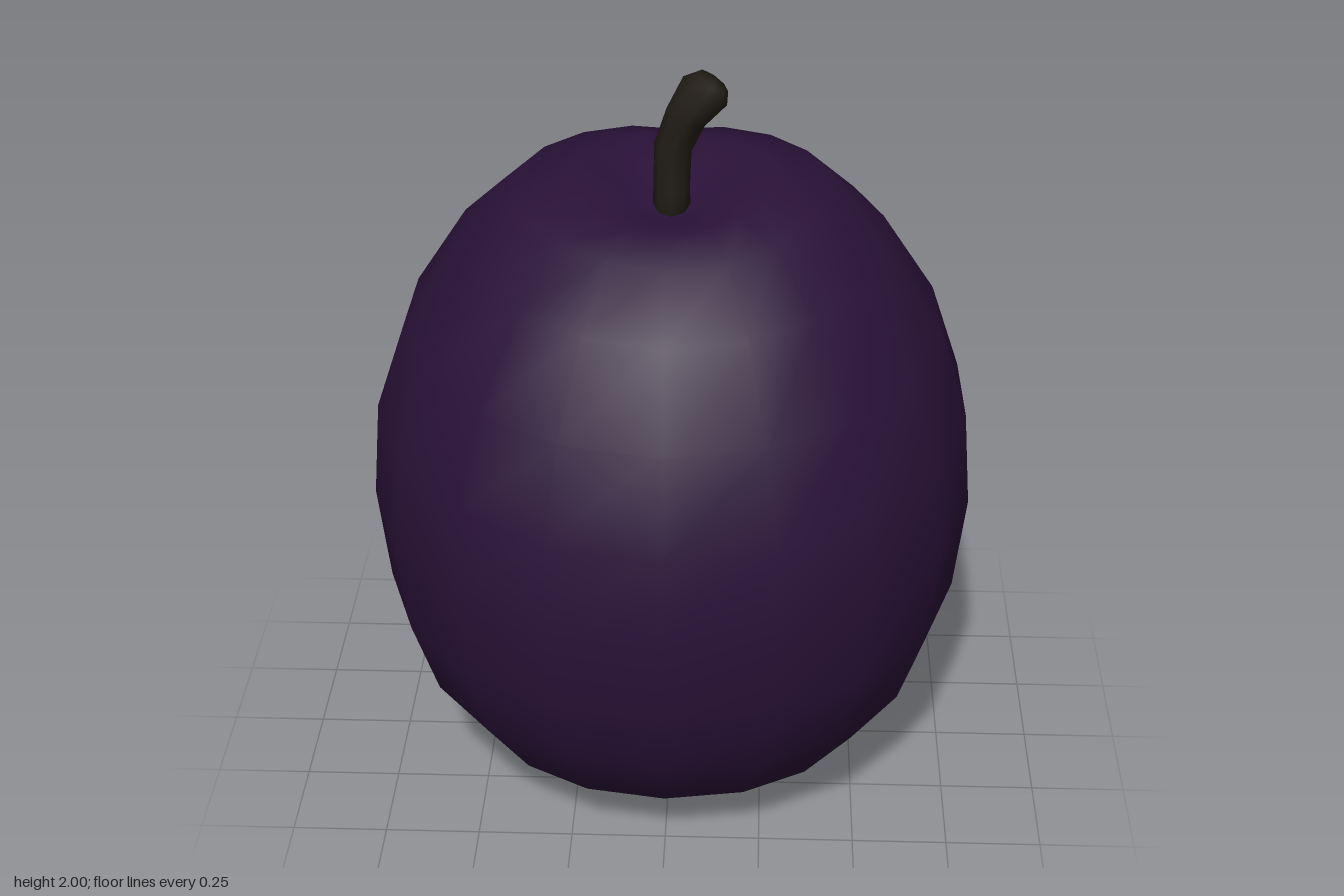
import * as THREE from 'three';

// Half of the widest horizontal section, front to crease: [x, z]
const HALF = [[0, 0.78], [0.29, 0.73], [0.52, 0.595], [0.7, 0.37], [0.79, 0.09], [0.785, -0.21],
  [0.68, -0.48], [0.49, -0.685], [0.24, -0.785], [0.075, -0.76], [0, -0.78]];
const CREASE = 10;

// Rings from bottom to top: [radius, y, crease strength]
const RINGS = [[0.19, 0.012, 0], [0.38, 0.055, 0.1], [0.56, 0.17, 0.45], [0.69, 0.35, 0.8],
  [0.76, 0.56, 0.95], [0.79, 0.82, 1], [0.77, 1.08, 1], [0.69, 1.32, 1], [0.55, 1.54, 1],
  [0.4, 1.68, 1], [0.26, 1.715, 0.9], [0.12, 1.68, 0.5]];

// Quads between closed rings, fans to the two end points
function loft(rings, bottom, top) {
  const n = rings[0].length, index = [];
  const points = [...rings.flat(), bottom, top];
  const low = points.length - 2, high = low + 1, last = (rings.length - 1) * n;
  for (let i = 0; i < n; i++) {
    const j = (i + 1) % n;
    for (let k = 0; k < last; k += n) {
      index.push(k + i, k + j, k + n + j, k + i, k + n + j, k + n + i);
    }
    index.push(low, j, i, high, last + i, last + j);
  }
  const geometry = new THREE.BufferGeometry().setFromPoints(points);
  geometry.setIndex(index);
  geometry.computeVertexNormals();
  return geometry;
}

function fruitGeometry() {
  const mirrored = HALF.slice(1, -1).reverse().map(([x, z]) => [-x, z]);
  const section = [...HALF, ...mirrored];
  const rings = RINGS.map(([r, y, crease]) => section.map(([sx, sz], i) => {
    const s = r / 0.79;
    const front = Math.max(0, sz / 0.78) ** 2;
    const back = Math.max(0, -sz / 0.78) ** 2;
    let py = y;
    if (y > 1) py -= 0.05 * front; // front shoulder sits lower
    if (y < 0.4) py += 0.03 * back * s; // underside rises at the back
    if (i === CREASE && y > 1.6) py -= 0.06 * crease;
    const inward = i === CREASE ? 1 - 0.22 * crease : 1;
    return new THREE.Vector3(sx * s, py, sz * s * inward);
  }));
  return loft(rings, new THREE.Vector3(0, 0.005, 0), new THREE.Vector3(0, 1.63, 0.02));
}

// Bent stalk that widens at the tip: [x, y, radius, lean]
function stemGeometry() {
  const stations = [[0, 1.6, 0.05, 0], [0, 1.69, 0.046, 0], [0.003, 1.8, 0.048, 0.2],
    [0.035, 1.88, 0.053, 0.45], [0.083, 1.95, 0.066, 0.6], [0.102, 1.975, 0.046, 0.6]];
  const sides = 8;
  const rings = stations.map(([x, y, r, lean]) => Array.from({ length: sides }, (_, i) => {
    const a = (i / sides) * Math.PI * 2;
    const u = Math.sin(a) * r;
    return new THREE.Vector3(x + u * Math.cos(lean), y - u * Math.sin(lean), 0.033 + Math.cos(a) * r);
  }));
  return loft(rings, new THREE.Vector3(0, 1.6, 0.033), new THREE.Vector3(0.108, 1.983, 0.033));
}

export function createModel() {
  const group = new THREE.Group();
  const add = (name, geometry, color) => {
    const mesh = new THREE.Mesh(geometry, new THREE.MeshStandardMaterial({ color }));
    mesh.name = name;
    group.add(mesh);
  };
  add('fruit', fruitGeometry(), 0x2a1238);
  add('stem', stemGeometry(), 0x211c15);
  return group;
}
